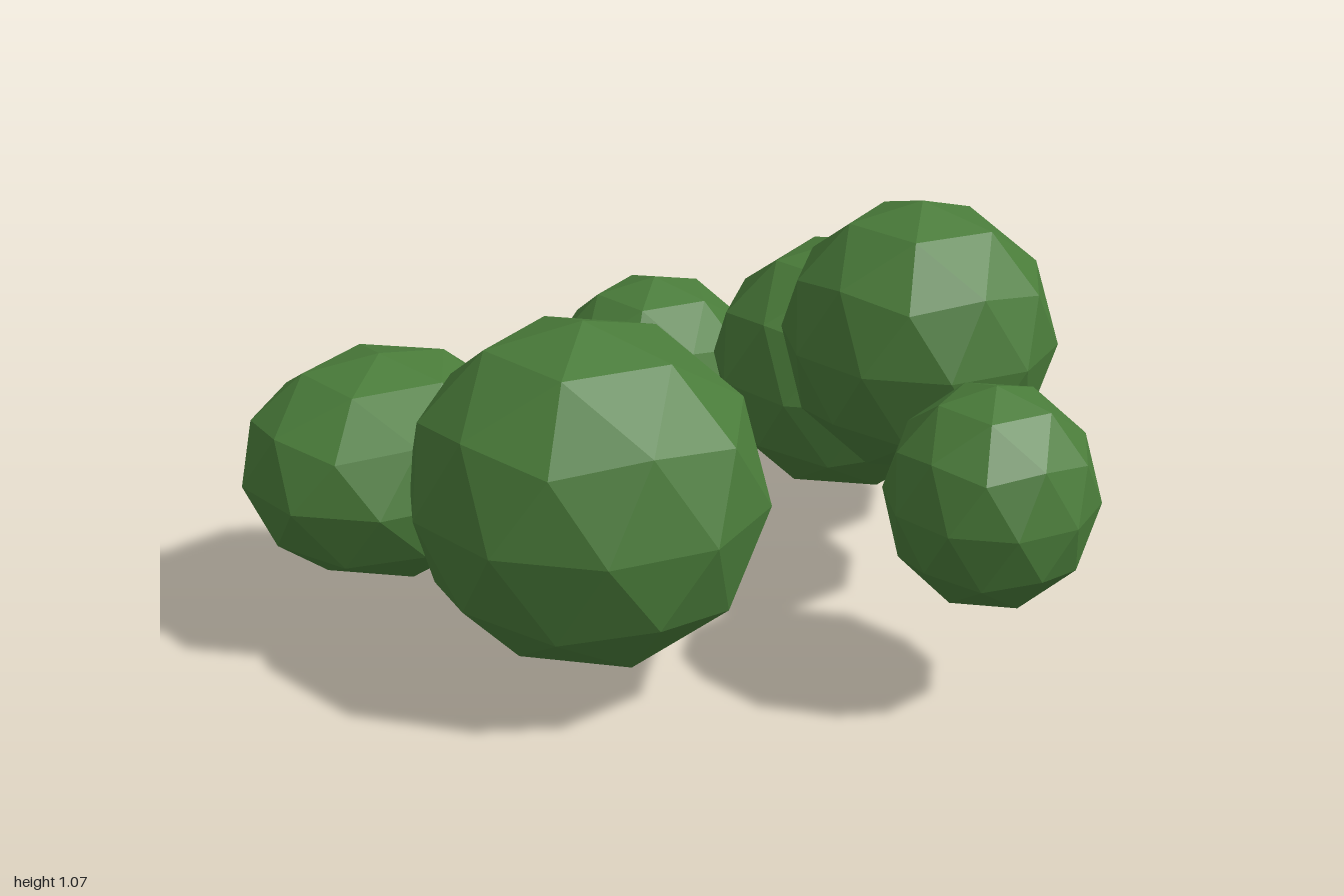
import * as THREE from 'three';

// Faceted unit ball with a corner at each pole and a ring corner toward +x
function facetedBall() {
  const g = new THREE.IcosahedronGeometry(1, 1);
  g.rotateX(-Math.atan((1 + Math.sqrt(5)) / 2));
  g.rotateY(Math.PI / 2);
  return g;
}

export function createModel() {
  const group = new THREE.Group();
  group.name = 'foliageCluster';
  const leafGreen = new THREE.MeshStandardMaterial({ color: 0x4a7c3a, flatShading: true });
  leafGreen.name = 'leafGreen';

  // name, centre, radii of each leafy clump
  const clumps = [
    ['largeFrontClump', [-0.085, 0.502, 0.545], [0.43, 0.412, 0.4]],
    ['rightFrontClump', [-0.675, 0.445, 0.52], [0.342, 0.275, 0.36]],
    ['rightBackClump', [-0.55, 0.3, -0.56], [0.302, 0.3, 0.302]],
    ['backClump', [0.032, 0.453, -0.58], [0.36, 0.343, 0.37]],
    ['highLeftClump', [0.415, 0.732, -0.167], [0.335, 0.337, 0.322]],
    ['smallLeftClump', [0.765, 0.542, 0.214], [0.243, 0.262, 0.247]],
  ];
  const ball = facetedBall();
  for (const [name, centre, radii] of clumps) {
    const mesh = new THREE.Mesh(ball.clone().scale(...radii), leafGreen);
    mesh.name = name;
    mesh.position.set(...centre);
    group.add(mesh);
  }
  return group;
}
